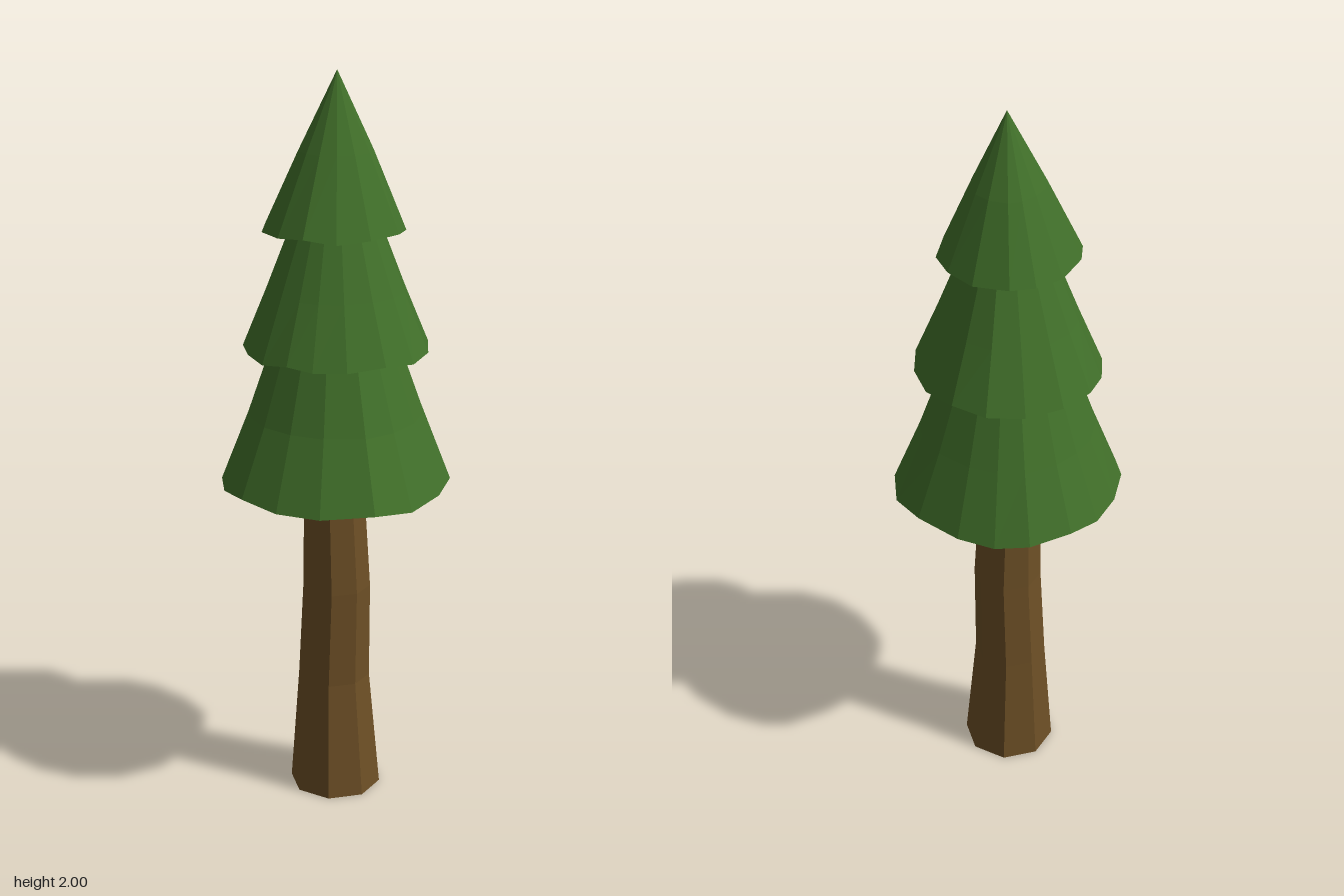
import * as THREE from 'three';

const leaf = new THREE.MeshStandardMaterial({ color: 0x41702a });
leaf.name = 'leaf green';
const bark = new THREE.MeshStandardMaterial({ color: 0x6e5026 });
bark.name = 'bark brown';
leaf.flatShading = bark.flatShading = true;

// Stacks scaled copies of an outline ([x, z] points, clockwise from above).
// Each ring is [y, scale, centreX, centreZ]; both ends are capped with a fan.
function loft(outline, rings, wobble = 0) {
  const n = outline.length, pos = [], index = [];
  rings.forEach(([y, s, cx, cz], r) => outline.forEach(([x, z], i) => {
    const dy = r === 0 ? wobble * Math.sin(i * 2.3) : 0;
    pos.push(cx + x * s, y + dy, cz + z * s);
  }));
  for (let r = 0; r < rings.length - 1; r++) {
    for (let i = 0; i < n; i++) {
      const a = r * n + i, b = r * n + (i + 1) % n;
      index.push(a, a + n, b, b, a + n, b + n);
    }
  }
  const top = (rings.length - 1) * n, low = pos.length / 3, high = low + 1;
  for (const [y, , cx, cz] of [rings[0], rings[rings.length - 1]]) pos.push(cx, y, cz);
  for (let i = 0; i < n; i++) {
    const j = (i + 1) % n;
    index.push(low, i, j, high, top + j, top + i);
  }
  const geo = new THREE.BufferGeometry();
  geo.setAttribute('position', new THREE.Float32BufferAttribute(pos, 3));
  geo.setIndex(index);
  const flat = geo.toNonIndexed();
  flat.computeVertexNormals();
  return flat;
}

export function createModel() {
  const tree = new THREE.Group();
  tree.name = 'pineTree';
  const add = (name, geo, mat) => {
    const mesh = new THREE.Mesh(geo, mat);
    mesh.name = name;
    tree.add(mesh);
  };

  // Slightly crooked octagonal trunk
  const octagon = Array.from({ length: 8 }, (_, i) => {
    const a = (i + 0.5) * Math.PI / 4;
    return [Math.sin(a), -Math.cos(a)];
  });
  add('trunk', loft(octagon, [
    [0, 0.125, -0.01, -0.01], [0.33, 0.098, -0.015, -0.012],
    [0.6, 0.092, -0.007, -0.013], [0.94, 0.08, -0.015, -0.01],
  ]), bark);

  // Lower skirt of branches
  add('lowerFoliage', loft([
    [-0.02, -0.3], [0.11, -0.28], [0.21, -0.228], [0.265, -0.148], [0.298, -0.025],
    [0.287, 0.1], [0.237, 0.203], [0.117, 0.277], [-0.003, 0.296], [-0.12, 0.277],
    [-0.213, 0.22], [-0.263, 0.157], [-0.299, 0.043], [-0.296, -0.05],
    [-0.268, -0.143], [-0.2, -0.24], [-0.12, -0.284],
  ], [[0.913, 1, 0, 0], [1.1, 0.76, -0.005, -0.008], [1.31, 0.52, -0.008, -0.01]], 0.007), leaf);

  // Middle skirt
  add('middleFoliage', loft([
    [-0.078, -0.25], [0.02, -0.25], [0.117, -0.215], [0.185, -0.16], [0.235, -0.07],
    [0.242, 0.02], [0.212, 0.11], [0.143, 0.185], [0.065, 0.225], [-0.005, 0.236],
    [-0.085, 0.226], [-0.155, 0.185], [-0.21, 0.125], [-0.242, 0.06],
    [-0.256, -0.03], [-0.228, -0.12], [-0.163, -0.2],
  ], [[1.282, 1, 0, 0], [1.44, 0.74, -0.003, -0.004], [1.63, 0.44, -0.005, -0.008]], 0.006), leaf);

  // Pointed crown
  add('topFoliage', loft([
    [0, -0.177], [0.082, -0.155], [0.155, -0.09], [0.182, -0.005], [0.152, 0.085],
    [0.09, 0.15], [0.01, 0.18], [-0.07, 0.17], [-0.142, 0.133], [-0.176, 0.06],
    [-0.172, -0.03], [-0.142, -0.11], [-0.093, -0.157],
  ], [[1.6, 1, 0, 0], [1.8, 0.52, -0.003, -0.008], [2, 0.002, -0.005, -0.012]], 0.006), leaf);

  return tree;
}
